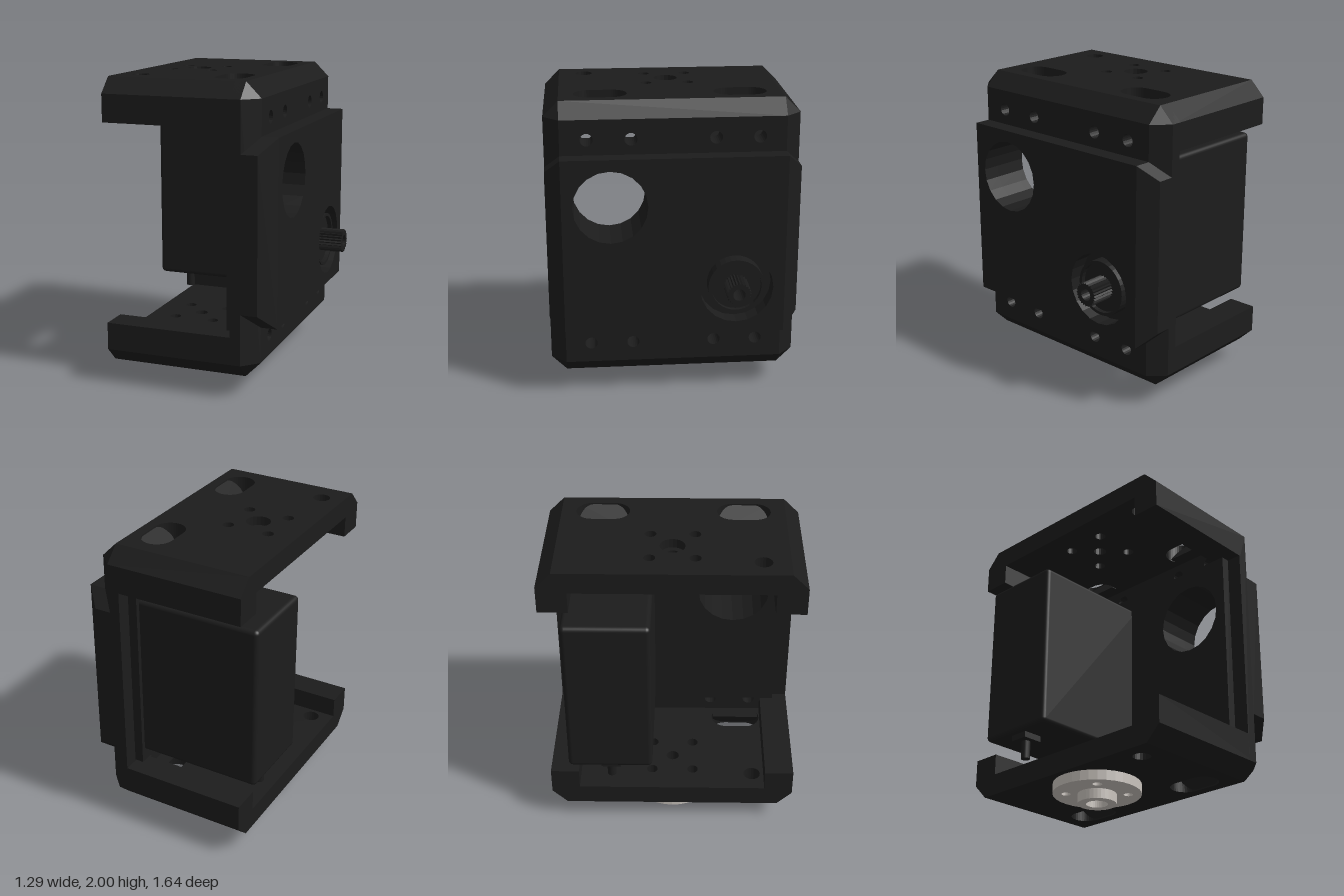
import * as THREE from 'three';
import { RoundedBoxGeometry } from 'three/addons/geometries/RoundedBoxGeometry.js';
import { ConvexGeometry } from 'three/addons/geometries/ConvexGeometry.js';

const black = new THREE.MeshStandardMaterial({ color: 0x1c1c1c });
const metal = new THREE.MeshStandardMaterial({ color: 0xc8c2bc });

function add(parent, name, geo, mat = black) {
  const m = new THREE.Mesh(geo, mat);
  m.name = name;
  parent.add(m);
  return m;
}

const circle = (u, v, r, C = THREE.Path) => new C().absarc(u, v, r, 0, Math.PI * 2, false);

const rect = (u0, u1, v0, v1) => new THREE.Shape([[u0, v0], [u1, v0], [u1, v1], [u0, v1]].map(p => new THREE.Vector2(...p)));

// shape in (-z, y), extruded along x
function alongX(shape, x0, x1, seg = 10) {
  return new THREE.ExtrudeGeometry(shape, { depth: x1 - x0, bevelEnabled: false, curveSegments: seg })
    .rotateY(Math.PI / 2).translate(x0, 0, 0);
}

// shape in (x, -z), extruded along y
function alongY(shape, y0, y1, seg = 10) {
  return new THREE.ExtrudeGeometry(shape, { depth: y1 - y0, bevelEnabled: false, curveSegments: seg })
    .rotateX(-Math.PI / 2).translate(0, y0, 0);
}

const hull = pts => new ConvexGeometry(pts.map(p => new THREE.Vector3(...p)));

const HUB_X = -0.275, SHAFT_Y = 0.78, SHAFT_Z = -0.405;

// Upper flange: perforated floor, side rails and chamfered corner to the wall
function flange(name) {
  const g = new THREE.Group();
  g.name = name;
  const floor = rect(-0.6, 0.32, -0.63, 0.63);
  floor.holes.push(circle(HUB_X, 0, 0.08), circle(-0.455, -0.55, 0.057));
  for (const a of [-1, 1]) for (const b of [-1, 1]) floor.holes.push(circle(HUB_X + a * 0.14, b * 0.14, 0.037));
  for (const s of [-1, 1]) {
    const slot = new THREE.Path();
    slot.absarc(0.1475, s * 0.4525 + 0.07, 0.1025, 0, Math.PI, false);
    slot.absarc(0.1475, s * 0.4525 - 0.07, 0.1025, Math.PI, Math.PI * 2, false);
    floor.holes.push(slot);
  }
  add(g, 'flangeFloor', alongY(floor, 1.86, 2));

  // counterbore step
  const step = circle(HUB_X, 0, 0.08, THREE.Shape);
  step.holes.push(circle(HUB_X, 0, 0.043));
  add(g, 'counterboreStep', alongY(step, 1.86, 1.94));

  for (const s of [-1, 1]) {
    const ends = [-0.6, 0.32];
    add(g, 'sideRail', hull(ends.flatMap(x => [
      [x, 1.72, s * 0.63], [x, 1.72, s * 0.82], [x, 1.9, s * 0.82], [x, 2, s * 0.72], [x, 2, s * 0.63]])));
    add(g, 'corner', hull([
      [0.25, 1.9, s * 0.72], [0.25, 2, s * 0.72], [0.25, 1.9, s * 0.82],
      [0.32, 2, s * 0.72], [0.32, 1.9, s * 0.82], [0.42, 1.9, s * 0.72]]));
    // sloping inner side of the slot
    add(g, 'slotRamp', hull([s * 0.29, s * 0.615].flatMap(z => [
      [0.25, 1.99, z], [0.25, 1.86, z], [0.15, 1.86, z]])));
  }
  add(g, 'topChamfer', hull([-0.72, 0.72].flatMap(z => [
    [0.25, 1.9, z], [0.25, 2, z], [0.32, 2, z], [0.42, 1.9, z]])));
  return g;
}

export function createModel() {
  const root = new THREE.Group();
  root.name = 'servoBracket';

  // Flanges, the lower mirrored from the upper
  root.add(flange('upperFlange'));
  const lower = flange('lowerFlange');
  lower.scale.y = -1;
  lower.position.y = 2.13;
  root.add(lower);

  // Wall with screw holes and large cable opening
  const opening = () => circle(-0.41, 1.355, 0.24);
  const wall = rect(-0.72, 0.72, 0.23, 1.9);
  wall.holes.push(opening());
  for (const y of [0.365, 1.77]) for (const z of [-0.55, -0.27, 0.27, 0.55]) wall.holes.push(circle(-z, y, 0.041));
  add(root, 'wall', alongX(wall, 0.25, 0.42));

  const liner = rect(-0.72, 0.72, 0.42, 1.72);
  liner.holes.push(opening());
  add(root, 'wallLiner', alongX(liner, 0.19, 0.25));

  // Raised cover plate on the wall
  const cover = rect(-0.72, 0.72, 0.465, 1.67);
  cover.holes.push(opening(), circle(-SHAFT_Z, SHAFT_Y, 0.24));
  add(root, 'coverPlate', alongX(cover, 0.42, 0.53));

  for (const s of [-1, 1]) {
    add(root, 'wallSide', hull([0.23, 1.9].flatMap(y => [
      [0.25, y, s * 0.72], [0.25, y, s * 0.82], [0.32, y, s * 0.82], [0.42, y, s * 0.72]])));
    add(root, 'coverSide', hull([[0.465, 0.565], [1.67, 1.57]].flatMap(([y, yo]) => [
      [0.32, y, s * 0.72], [0.53, y, s * 0.72], [0.32, yo, s * 0.82], [0.43, yo, s * 0.82]])));
  }

  // Motor body and its terminal
  add(root, 'motorBody', new RoundedBoxGeometry(0.895, 1.13, 0.56, 3, 0.03)).position.set(-0.1975, 1.065, -0.41);
  add(root, 'terminalBlock', new THREE.BoxGeometry(0.135, 0.06, 0.13)).position.set(-0.5325, 0.49, -0.41);
  add(root, 'terminalPin', new THREE.CylinderGeometry(0.03, 0.03, 0.14, 12)).position.set(-0.532, 0.41, -0.41);

  // Bearing rings in the shaft recess
  const ring = (name, rOut, rIn, x1) => {
    const s = circle(-SHAFT_Z, SHAFT_Y, rOut, THREE.Shape);
    s.holes.push(circle(-SHAFT_Z, SHAFT_Y, rIn));
    add(root, name, alongX(s, 0.42, x1, 16));
  };
  ring('bearingRing', 0.185, 0.165, 0.51);
  ring('bearingFace', 0.165, 0.07, 0.48);

  // Splined output shaft with a bore
  const spline = new THREE.Shape();
  const teeth = 24;
  for (let i = 0; i < teeth * 2; i++) {
    const a = i * Math.PI / teeth, r = i % 2 ? 0.07 : 0.08;
    const u = -SHAFT_Z + r * Math.cos(a), v = SHAFT_Y + r * Math.sin(a);
    if (i) spline.lineTo(u, v); else spline.moveTo(u, v);
  }
  spline.holes.push(circle(-SHAFT_Z, SHAFT_Y, 0.04));
  add(root, 'outputShaft', alongX(spline, 0.42, 0.645));

  // Metal hub under the lower flange
  const disc = circle(HUB_X, 0, 0.285, THREE.Shape);
  disc.holes.push(circle(HUB_X, 0, 0.05));
  for (const a of [-1, 1]) for (const b of [-1, 1]) disc.holes.push(circle(HUB_X + a * 0.14, b * 0.14, 0.03));
  add(root, 'hubDisc', alongY(disc, 0.065, 0.13, 16), metal);
  const boss = circle(HUB_X, 0, 0.125, THREE.Shape);
  boss.holes.push(circle(HUB_X, 0, 0.07));
  add(root, 'hubBoss', alongY(boss, 0, 0.065, 16), metal);

  return root;
}
